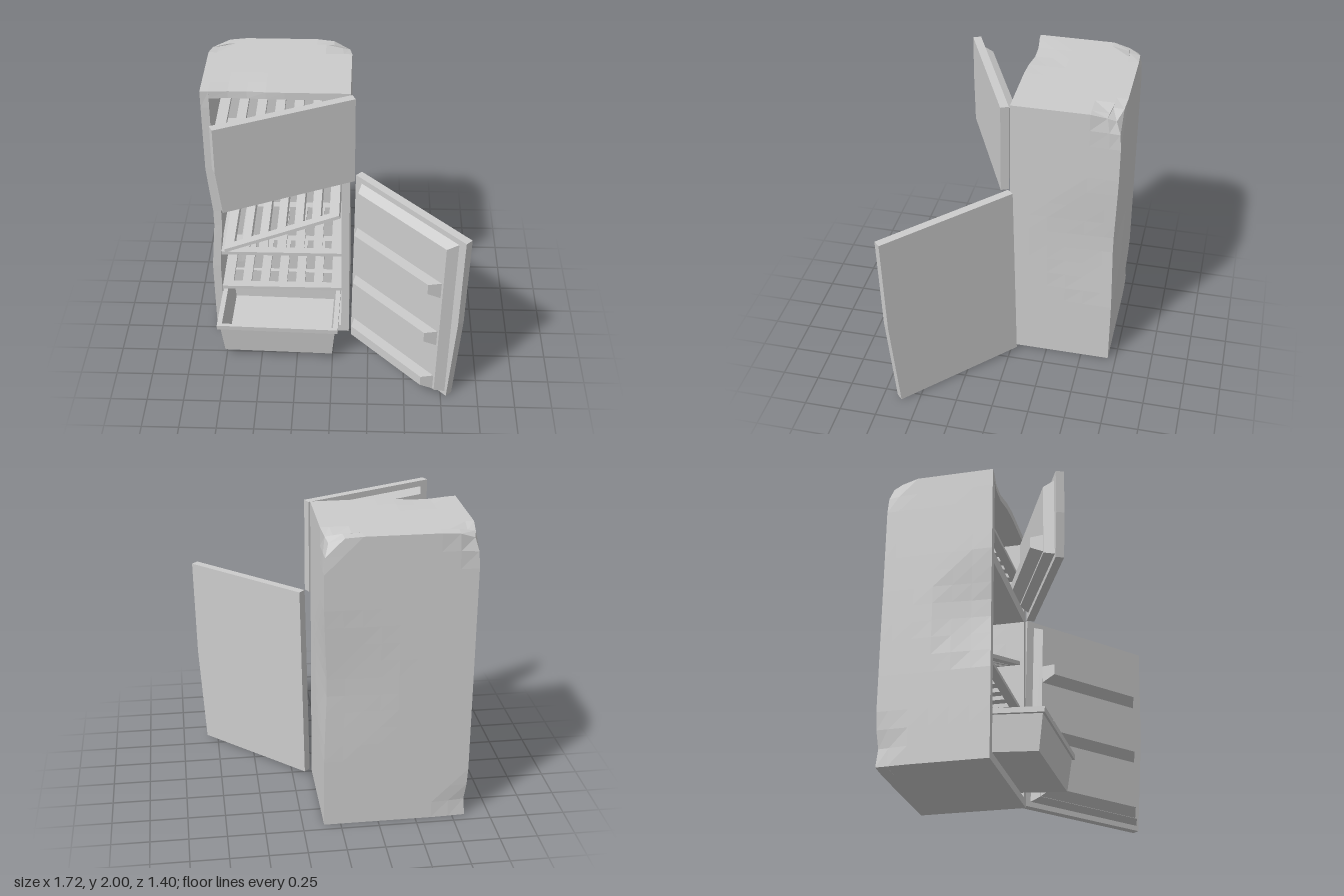
import * as THREE from 'three';

const mat = new THREE.MeshStandardMaterial({ color: 0xcccccc, flatShading: true, side: THREE.DoubleSide });

function add(parent, name, geometry) {
  geometry.computeVertexNormals();
  const mesh = new THREE.Mesh(geometry, mat);
  mesh.name = name;
  parent.add(mesh);
  return mesh;
}

function eachVertex(geometry, rule) {
  const p = geometry.attributes.position, v = new THREE.Vector3();
  for (let i = 0; i < p.count; i++) {
    v.fromBufferAttribute(p, i);
    rule(v);
    p.setXYZ(i, v.x, v.y, v.z);
  }
  return geometry;
}

// Dents in the cabinet: centre, radius, push
const dents = [
  [[-0.845, 1.0, 0.015], 0.4, [0.035, 0, -0.01]],
  [[-0.6, 2, 0.015], 0.22, [0, -0.01, -0.03]],
  [[0.11, 2, -0.695], 0.15, [-0.03, -0.045, 0.04]],
  [[-0.845, 2, -0.695], 0.15, [0.03, -0.045, 0.03]],
  [[0.11, 1.0, -0.695], 0.5, [-0.02, 0, 0.015]],
  [[-0.845, 0.1, -0.695], 0.18, [0.02, 0, 0.02]],
].map(([c, r, d]) => [new THREE.Vector3(...c), r, new THREE.Vector3(...d)]);

function dent(v) {
  const start = v.clone();
  for (const [centre, radius, push] of dents)
    v.addScaledVector(push, Math.max(0, 1 - start.distanceTo(centre) / radius));
}

function wall(parent, name, x0, x1, y0, y1, z0, z1) {
  const n = (a) => Math.max(1, Math.round(a / 0.12));
  const g = new THREE.BoxGeometry(x1 - x0, y1 - y0, z1 - z0, n(x1 - x0), n(y1 - y0), n(z1 - z0));
  g.translate((x0 + x1) / 2, (y0 + y1) / 2, (z0 + z1) / 2);
  return add(parent, name, eachVertex(g, dent));
}

// Six-sided block between a back and a front rectangle, each [x0, x1, y0, y1, z]
function block(back, front) {
  return eachVertex(new THREE.BoxGeometry(2, 2, 2), (v) => {
    const r = v.z > 0 ? front : back;
    v.set(v.x > 0 ? r[1] : r[0], v.y > 0 ? r[3] : r[2], r[4]);
  });
}

// Door in local axes: x away from the hinge, z towards its inner face
function makeDoor(name, length, y0, y1, racks, bend) {
  const door = new THREE.Group();
  door.name = name;
  const slab = new THREE.BoxGeometry(length, y1 - y0, 0.055, 4, 6, 1);
  slab.translate(length / 2, (y0 + y1) / 2, -0.0275);
  eachVertex(slab, (v) => {
    const low = Math.max(0, 1 - (v.y - y0) / ((y1 - y0) * 0.5));
    v.x -= bend * low * (v.x / length) ** 4;
  });
  add(door, name + 'Panel', slab);
  const s = length - 0.056;
  add(door, name + 'Liner', block(
    [0.055, s, y0 + 0.035, y1 - 0.04, 0],
    [0.09, s - 0.043, y0 + 0.06, y1 - 0.07, 0.064]));
  for (const top of racks)
    add(door, name + 'Rack', block(
      [0.09, s - 0.055, top - 0.125, top, 0.06],
      [0.14, s - 0.107, top - 0.075, top, 0.138]));
  return door;
}

// Slatted shelf, origin at the left end of its underside
function makeShelf(name, width, depth) {
  const shape = new THREE.Shape();
  shape.moveTo(0, 0).lineTo(width, 0).lineTo(width, depth).lineTo(0, depth);
  const slots = 6, pitch = (width - 0.08) / slots;
  for (let i = 0; i < slots; i++) {
    const x = 0.04 + (i + 0.25) * pitch, w = pitch * 0.5;
    const hole = new THREE.Path();
    hole.moveTo(x, 0.06).lineTo(x, depth - 0.06).lineTo(x + w, depth - 0.06).lineTo(x + w, 0.06);
    shape.holes.push(hole);
  }
  const g = new THREE.ExtrudeGeometry(shape, { depth: 0.025, bevelEnabled: false });
  g.rotateX(-Math.PI / 2);
  const mesh = new THREE.Mesh(g, mat);
  mesh.name = name;
  return mesh;
}

export function createModel() {
  const model = new THREE.Group();
  model.name = 'openRefrigerator';

  // Cabinet
  const cabinet = new THREE.Group();
  cabinet.name = 'cabinet';
  model.add(cabinet);
  const back = -0.62, front = 0.015;
  wall(cabinet, 'backWall', -0.845, 0.11, 0, 2, -0.695, back);
  wall(cabinet, 'rightWall', -0.845, -0.79, 0, 2, back, front);
  wall(cabinet, 'leftWall', 0.055, 0.11, 0, 2, back, front);
  wall(cabinet, 'floor', -0.79, 0.055, 0, 0.055, back, front);
  wall(cabinet, 'divider', -0.79, 0.055, 1.33, 1.41, back, front);
  wall(cabinet, 'roof', -0.79, 0.055, 1.95, 2, back, front);

  // Shelves: [name, x, y, tilt, width]
  for (const [name, x, y, tilt, width] of [
    ['lowerShelf', -0.79, 0.36, 0, 0.845],
    ['middleShelf', -0.79, 0.67, 0, 0.845],
    ['fallenShelf', -0.755, 0.69, 0.37, 0.86],
    ['freezerShelf', -0.785, 1.62, 0.04, 0.835],
  ]) {
    const shelf = makeShelf(name, width, 0.6);
    shelf.position.set(x, y, -0.01);
    shelf.rotation.z = tilt;
    model.add(shelf);
  }

  // Drawer: square profile stretched to a rectangular tray
  const profile = [[0, 0], [0.9, 0], [0.95, 0.23], [1, 0.23], [1, 0.265], [0.92, 0.265], [0.86, 0.02], [0, 0.02]]
    .map(([r, y]) => new THREE.Vector2(r * Math.SQRT2, y));
  const tray = new THREE.LatheGeometry(profile, 4, Math.PI / 4);
  tray.scale(0.42, 1, 0.3);
  const drawer = add(model, 'drawer', tray);
  drawer.position.set(-0.373, 0.068, 0.032);
  drawer.rotation.set(0.065, -0.028, 0);

  // Doors, swung open on the left side
  const mainDoor = makeDoor('mainDoor', 0.976, 0.025, 1.385, [1.03, 0.615, 0.21], 0.04);
  mainDoor.rotation.set(0, -Math.PI / 4, -0.025, 'YXZ');
  mainDoor.position.set(0.125, 0, -0.005);
  model.add(mainDoor);

  const freezerDoor = makeDoor('freezerDoor', 0.944, 1.37, 1.995, [1.57], 0.035);
  freezerDoor.rotation.y = Math.atan2(-0.413, -0.911);
  freezerDoor.position.set(0.12, 0, 0.02);
  model.add(freezerDoor);

  return model;
}
